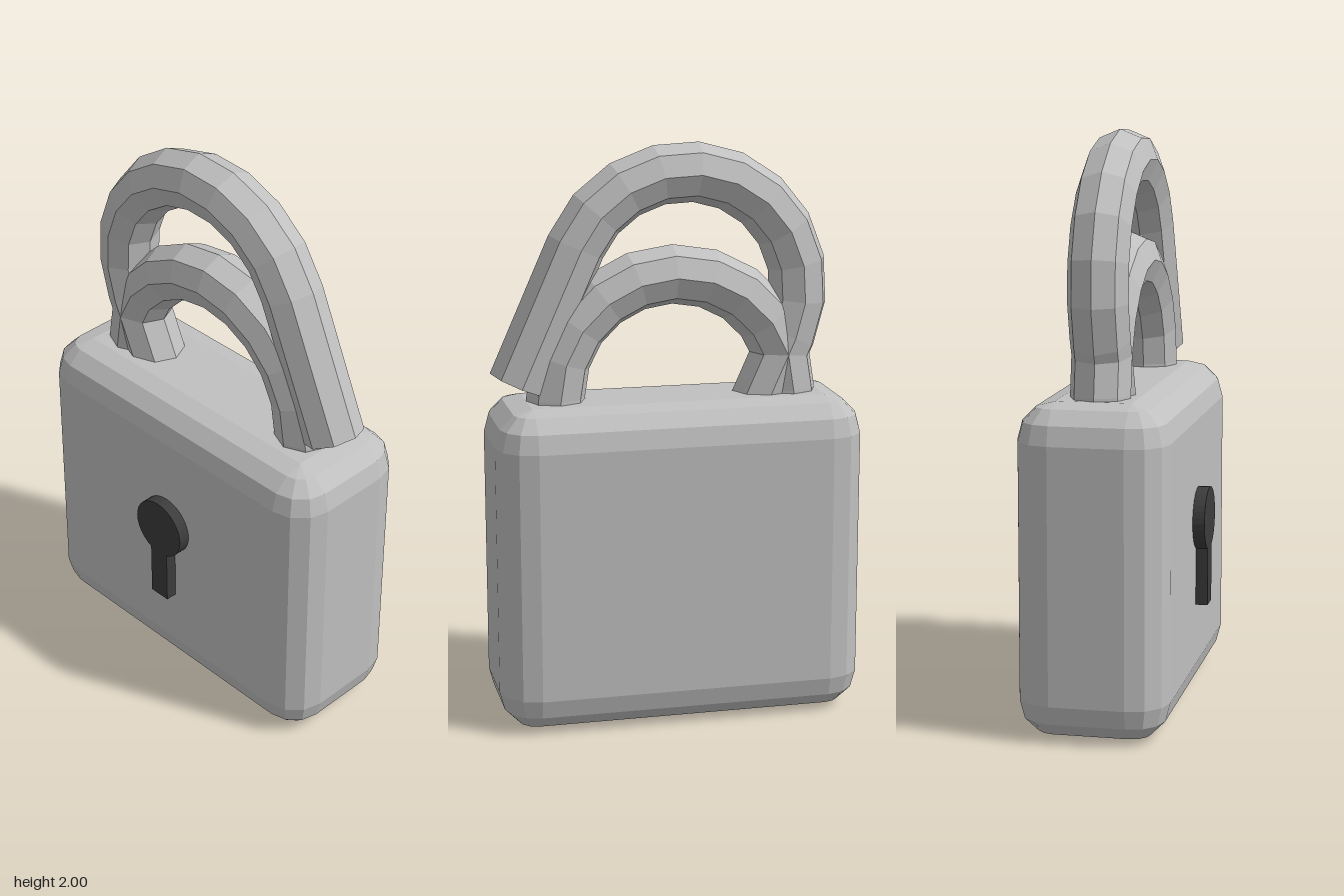
import * as THREE from 'three';
import { ConvexGeometry } from 'three/addons/geometries/ConvexGeometry.js';

const MID_Z = -0.022;

// Box with edges rounded in three steps: the hull of eight sphere octants
function roundedBlock(w, h, d, r) {
  const points = [];
  const step = Math.PI / 6;
  for (const sx of [-1, 1]) for (const sy of [-1, 1]) for (const sz of [-1, 1])
    for (let i = 0; i <= 3; i++) for (let j = 0; j <= 3; j++) {
      if (i === 3 && j > 0) continue;
      const ring = Math.cos(i * step);
      points.push(new THREE.Vector3(
        sx * (w / 2 - r + r * ring * Math.cos(j * step)),
        sy * (h / 2 - r + r * Math.sin(i * step)),
        sz * (d / 2 - r + r * ring * Math.sin(j * step))));
    }
  return new ConvexGeometry(points);
}

// Half-ring bow with a straight leg at each end
function shackle(name, material, leftLeg, rightLeg) {
  const R = 0.41, r = 0.103;
  const group = new THREE.Group();
  group.name = name;
  const bow = new THREE.Mesh(new THREE.TorusGeometry(R, r, 8, 10, Math.PI), material);
  bow.name = name + 'Bow';
  group.add(bow);
  for (const [side, x, length] of [['Right', -R, rightLeg], ['Left', R, leftLeg]]) {
    const leg = new THREE.Mesh(new THREE.CylinderGeometry(r, r, length, 8), material);
    leg.name = name + side + 'Leg';
    leg.position.set(x, -length / 2, 0);
    group.add(leg);
  }
  return group;
}

export function createModel() {
  const metal = new THREE.MeshStandardMaterial({ color: 0xc0c0c0, flatShading: true });
  metal.name = 'greyMetal';
  const dark = new THREE.MeshStandardMaterial({ color: 0x3c3c3c, flatShading: true });
  dark.name = 'darkKeyhole';

  const model = new THREE.Group();
  model.name = 'padlock';

  // Body
  const body = new THREE.Mesh(roundedBlock(1.285, 1.13, 0.515, 0.13), metal);
  body.name = 'body';
  body.position.set(0, 0.565, MID_Z);
  model.add(body);

  // Closed shackle, seated in the body
  const closed = shackle('closedShackle', metal, 0.1, 0.1);
  closed.position.set(0, 1.14, MID_Z);
  model.add(closed);

  // Open shackle, raised and tilted
  const open = shackle('openShackle', metal, 0.51, 0.36);
  open.position.set(-0.04, 1.49, MID_Z);
  open.rotation.z = THREE.MathUtils.degToRad(24);
  model.add(open);

  // Raised keyhole: round head with a slot below
  const shape = new THREE.Shape();
  shape.moveTo(-0.04, -0.305);
  shape.lineTo(0.04, -0.305);
  shape.absarc(0, 0, 0.11, -1.2, Math.PI + 1.2, false);
  const keyhole = new THREE.Mesh(
    new THREE.ExtrudeGeometry(shape, { depth: 0.06, bevelEnabled: false, curveSegments: 14 }), dark);
  keyhole.name = 'keyhole';
  keyhole.position.set(0, 0.65, 0.217);
  model.add(keyhole);

  return model;
}
